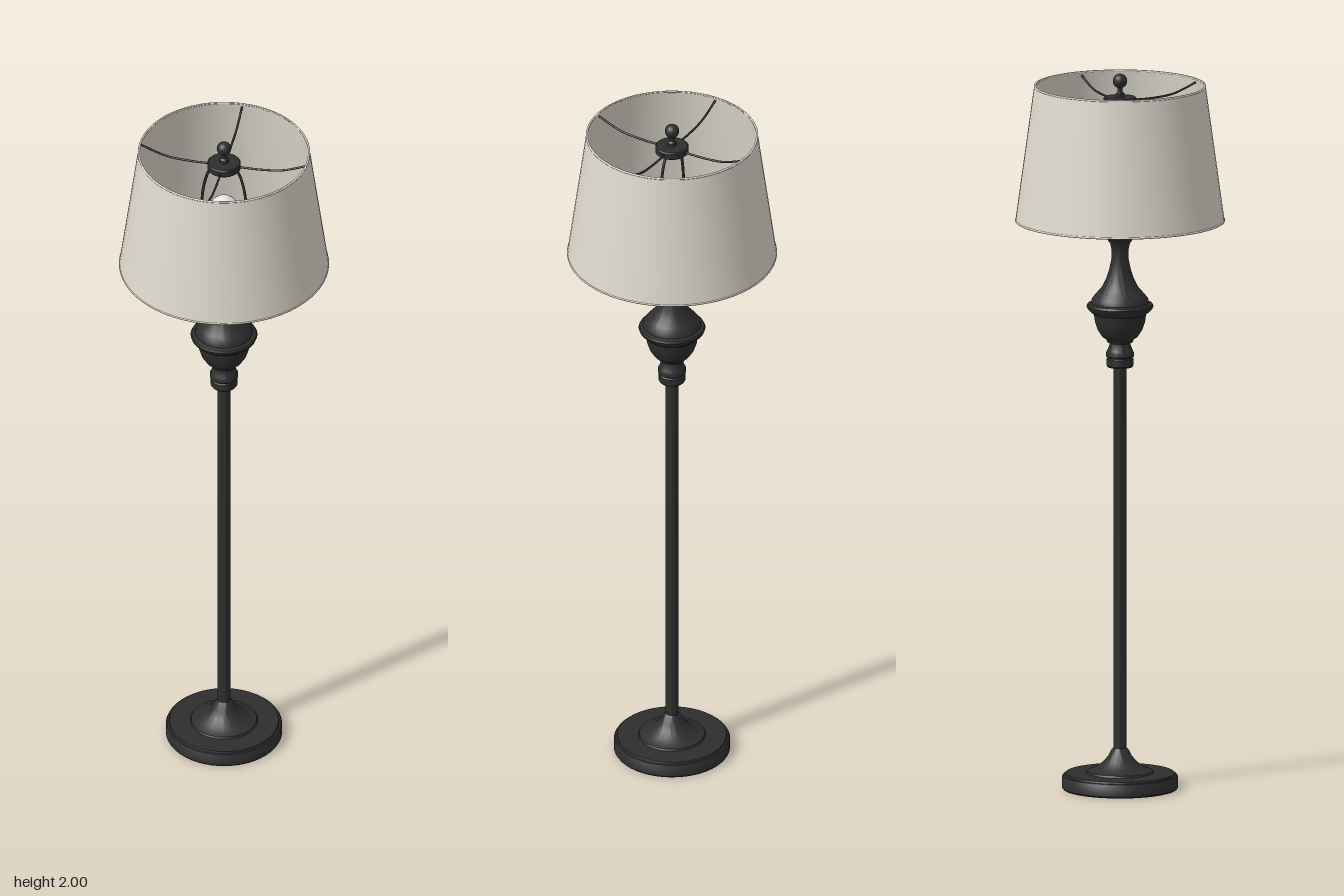
import * as THREE from 'three';
import { toCreasedNormals } from 'three/addons/utils/BufferGeometryUtils.js';

export function createModel() {
  const lamp = new THREE.Group();
  lamp.name = 'floorLamp';

  const darkMetal = new THREE.MeshStandardMaterial({ color: 0x2e2e2f });
  darkMetal.name = 'dark metal';
  const fabric = new THREE.MeshStandardMaterial({ color: 0xdedacf });
  fabric.name = 'shade fabric';
  const glass = new THREE.MeshStandardMaterial({ color: 0xe8e8e4 });
  glass.name = 'bulb glass';

  const add = (name, geometry, material, parent = lamp) => {
    const mesh = new THREE.Mesh(geometry, material);
    mesh.name = name;
    parent.add(mesh);
    return mesh;
  };
  // Turned part from [radius, height] pairs, listed bottom to top on the outside
  const turned = (name, profile, material, sides = 48) => {
    const points = profile.map(([r, y]) => new THREE.Vector2(r, y));
    return add(name, toCreasedNormals(new THREE.LatheGeometry(points, sides), 0.6), material);
  };
  // Bent wire through a few points
  const wire = (name, points, radius, parent) => {
    const curve = new THREE.CatmullRomCurve3(points.map((p) => new THREE.Vector3(...p)), false, 'centripetal');
    return add(name, new THREE.TubeGeometry(curve, 28, radius, 8), darkMetal, parent);
  };

  // Base, flaring up into the pole
  turned('base', [
    [0, 0], [0.157, 0], [0.16, 0.004], [0.16, 0.033], [0.157, 0.038], [0.152, 0.039], [0.15, 0.044],
    [0.093, 0.045], [0.09, 0.05], [0.08, 0.053], [0.062, 0.062], [0.045, 0.076],
    [0.032, 0.092], [0.024, 0.108], [0.018, 0.115],
  ], darkMetal);
  turned('pole', [[0.018, 0.1], [0.018, 1.19]], darkMetal, 32);

  // Collar and urn turning
  turned('collar', [
    [0, 1.18], [0.034, 1.18], [0.037, 1.184], [0.037, 1.203], [0.034, 1.206], [0.039, 1.211],
    [0.039, 1.219], [0.035, 1.227], [0.03, 1.238], [0.028, 1.25],
  ], darkMetal);
  turned('urn', [
    [0.028, 1.247], [0.036, 1.25], [0.037, 1.256], [0.05, 1.266], [0.062, 1.285], [0.069, 1.306],
    [0.072, 1.328], [0.08, 1.334], [0.089, 1.343], [0.092, 1.351], [0.089, 1.357], [0.08, 1.36],
    [0.077, 1.372], [0.066, 1.385], [0.051, 1.402], [0.039, 1.425], [0.03, 1.452], [0.024, 1.48],
    [0.023, 1.505], [0.027, 1.525], [0.036, 1.538], [0.043, 1.543], [0.045, 1.549],
    [0.043, 1.557], [0.036, 1.56], [0, 1.56],
  ], darkMetal);

  // Socket and bulb
  turned('socket', [
    [0.017, 1.555], [0.017, 1.615], [0.023, 1.618], [0.023, 1.675], [0.018, 1.68], [0, 1.68],
  ], darkMetal, 32);
  turned('bulb', [
    [0.016, 1.675], [0.02, 1.69], [0.028, 1.708], [0.037, 1.73], [0.042, 1.755], [0.041, 1.778],
    [0.033, 1.799], [0.018, 1.812], [0, 1.816],
  ], glass, 32);

  // Harp around the bulb
  const harp = new THREE.Group();
  harp.name = 'harp';
  lamp.add(harp);
  for (const side of [-1, 1]) {
    wire('harpWire', [
      [0.015 * side, 1.625, 0], [0.042 * side, 1.632, 0], [0.058 * side, 1.66, 0], [0.063 * side, 1.75, 0],
      [0.058 * side, 1.84, 0], [0.042 * side, 1.9, 0], [0.025 * side, 1.925, 0],
    ], 0.004, harp);
  }

  // Hub and four arms holding the shade
  turned('hub', [
    [0, 1.913], [0.043, 1.913], [0.046, 1.916], [0.046, 1.932], [0.043, 1.935], [0, 1.935],
  ], darkMetal, 32);
  const spider = new THREE.Group();
  spider.name = 'shadeSpider';
  lamp.add(spider);
  for (let i = 0; i < 4; i++) {
    const arm = wire('spiderArm', [
      [0.03, 1.924, 0], [0.1, 1.924, 0], [0.16, 1.93, 0], [0.2, 1.943, 0], [0.233, 1.957, 0],
    ], 0.003, spider);
    arm.rotation.y = i * Math.PI / 2;
  }

  // Finial
  turned('finialStem', [[0.012, 1.93], [0.012, 1.945], [0.007, 1.95], [0.007, 1.97]], darkMetal, 24);
  add('finialBall', new THREE.SphereGeometry(0.02, 24, 16), darkMetal).position.y = 1.98;

  // Tapered shade with a thin wall, and a narrow binding at each rim
  turned('shade', [
    [0.285, 1.59], [0.288, 1.59], [0.236, 1.968], [0.232, 1.968], [0.285, 1.59],
  ], fabric, 64);
  for (const [name, r, y] of [['topBinding', 0.2345, 1.966], ['bottomBinding', 0.2865, 1.591]]) {
    const ring = add(name, new THREE.TorusGeometry(r, 0.003, 8, 64), fabric);
    ring.rotation.x = Math.PI / 2;
    ring.position.y = y;
  }

  return lamp;
}
